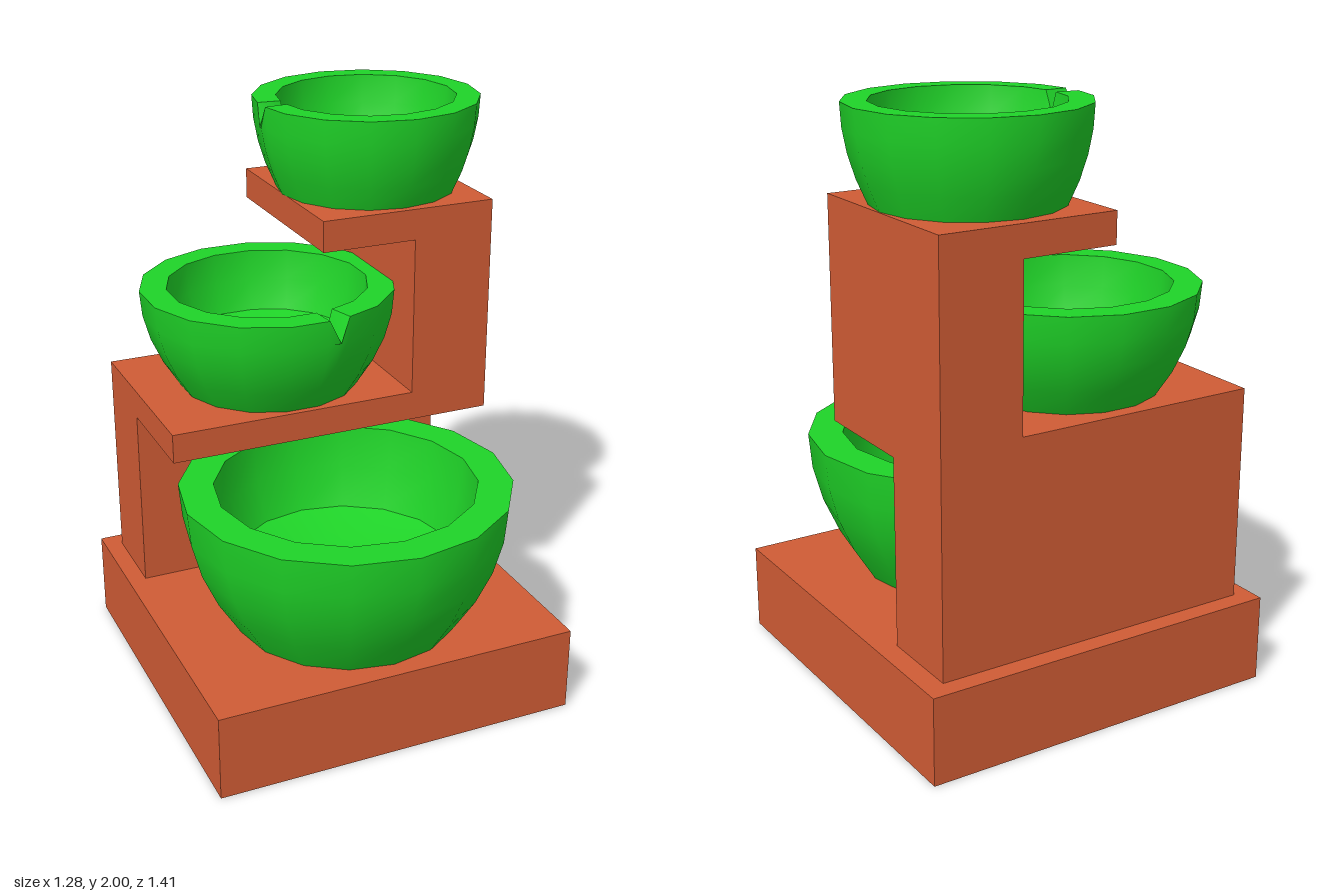
import * as THREE from 'three';
import { toCreasedNormals } from 'three/addons/utils/BufferGeometryUtils.js';

const clay = new THREE.MeshStandardMaterial({ color: 0xd05c35 });
const green = new THREE.MeshStandardMaterial({ color: 0x1fd428 });
const SIDES = 16;
const STEP = (Math.PI * 2) / SIDES;

// Box given by its min and max corners
function block(name, x0, x1, y0, y1, z0, z1) {
  const mesh = new THREE.Mesh(new THREE.BoxGeometry(x1 - x0, y1 - y0, z1 - z0), clay);
  mesh.name = name;
  mesh.position.set((x0 + x1) / 2, (y0 + y1) / 2, (z0 + z1) / 2);
  return mesh;
}

// Thick 16-sided bowl; notch is the rim corner index that gets a V-shaped spout
function bowl(name, { x, y, z, radius, height, foot, turn = 0, notch = -1 }) {
  // Profile: foot, curved outside, flat rim, inside wall, dished floor
  const profile = [[0, 0]];
  for (let t = 0; t <= 1.001; t += 0.25) {
    profile.push([foot + (1 - foot) * (1 - (1 - t) ** 2), t]);
  }
  profile.push([0.79, 1], [0.765, 0.7], [0.69, 0.4], [0.4, 0.31], [0, 0.28]);

  // Columns around the bowl, with two extra ones beside the notch
  const columns = [];
  const w = 0.09;
  for (let i = 0; i < SIDES; i++) {
    const a = i * STEP + turn;
    const side = Math.cos(STEP / 2) / Math.cos(STEP / 2 - w);
    if (i === notch) columns.push({ a: a - w, k: side, top: 1 });
    columns.push({ a, k: 1, top: i === notch ? 0.76 : 1 });
    if (i === notch) columns.push({ a: a + w, k: side, top: 1 });
  }

  const points = columns.map(({ a, k, top }) => profile.map(([r, h]) => [
    Math.sin(a) * r * k * radius, Math.min(h, top) * height, Math.cos(a) * r * k * radius,
  ]));
  const positions = [];
  const last = profile.length - 2;
  points.forEach((p, i) => {
    const q = points[(i + 1) % points.length];
    for (let j = 0; j <= last; j++) {
      if (j > 0) positions.push(...p[j], ...q[j], ...q[j + 1]);
      if (j < last) positions.push(...p[j], ...q[j + 1], ...p[j + 1]);
      else continue;
    }
  });
  const geometry = new THREE.BufferGeometry();
  geometry.setAttribute('position', new THREE.Float32BufferAttribute(positions, 3));
  const mesh = new THREE.Mesh(toCreasedNormals(geometry, 0.7), green);
  mesh.name = name;
  mesh.position.set(x, y, z);
  return mesh;
}

export function createModel() {
  const group = new THREE.Group();
  group.name = 'tieredBowlFountain';

  // Stepped stand
  group.add(
    block('base', -0.64, 0.64, 0, 0.3, -0.695, 0.587),
    block('backWall', -0.578, 0.568, 0.3, 0.94, -0.63, -0.342),
    block('middleShelf', -0.578, 0.568, 0.94, 1.04, -0.63, 0.053),
    block('column', 0.284, 0.568, 1.04, 1.585, -0.63, 0.053),
    block('topShelf', -0.045, 0.568, 1.585, 1.69, -0.63, 0.053),
  );

  // Three bowls, the upper two spilling into the one below
  group.add(
    bowl('lowerBowl', { x: 0, y: 0.3, z: 0.135, radius: 0.567, height: 0.492, foot: 0.69 }),
    bowl('middleBowl', {
      x: -0.112, y: 1.04, z: -0.275, radius: 0.438, height: 0.35, foot: 0.71, turn: STEP / 2, notch: 0,
    }),
    bowl('upperBowl', { x: 0.257, y: 1.69, z: -0.28, radius: 0.384, height: 0.31, foot: 0.8, notch: 12 }),
  );
  return group;
}
